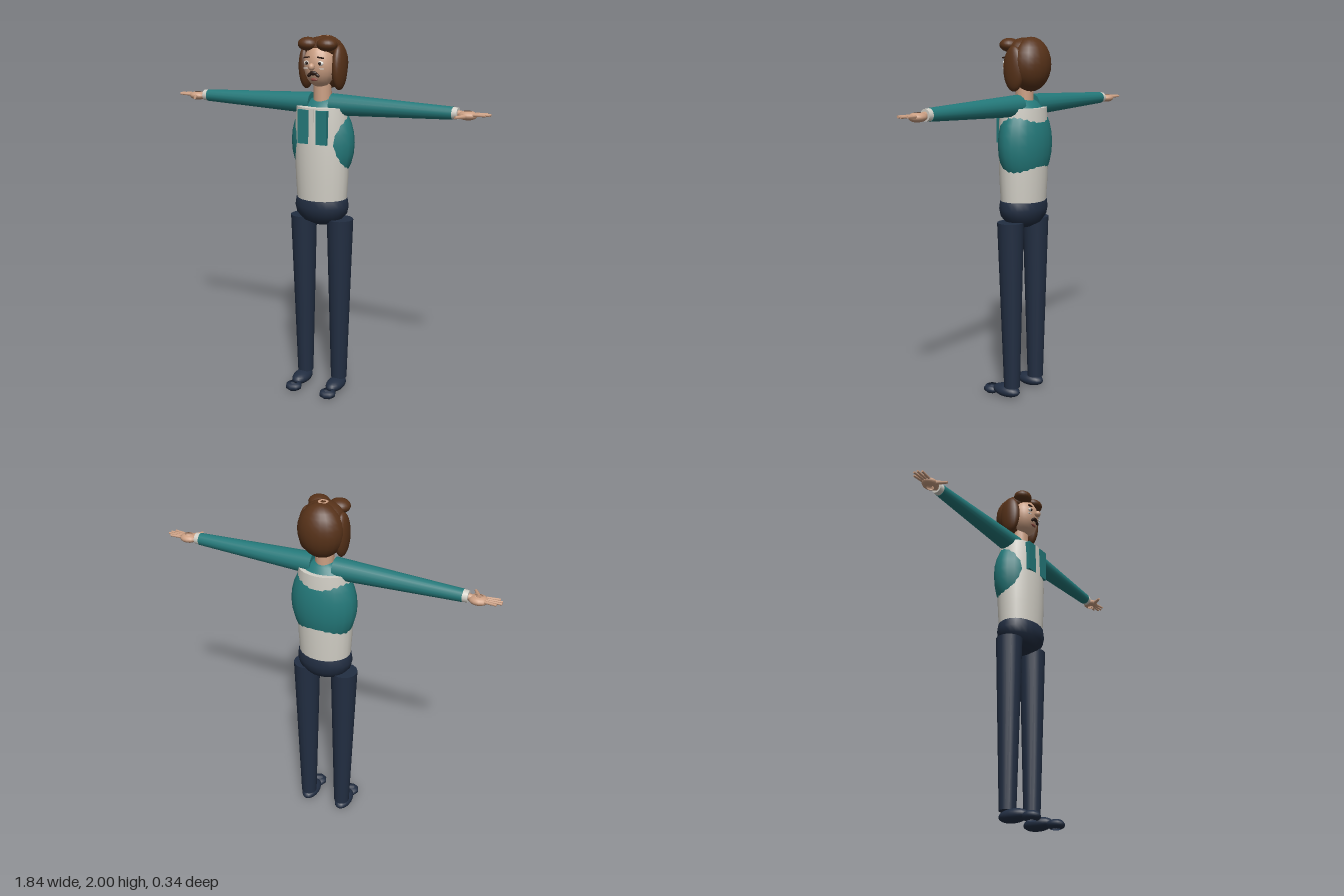
import * as THREE from 'three';

const mat = (name, color, side = THREE.FrontSide) => {
  const m = new THREE.MeshStandardMaterial({ color, side });
  m.name = name;
  return m;
};

export function createModel() {
  const root = new THREE.Group();
  root.name = 'standingFigure';
  const teal = mat('teal jacket', 0x24797a);
  const shirt = mat('off-white shirt', 0xd2cfc6);
  const navy = mat('navy trousers', 0x222e42, THREE.DoubleSide);
  const hair = mat('brown hair', 0x573219);
  const skin = mat('skin', 0xcb9f83, THREE.DoubleSide);
  const dark = mat('dark features', 0x2c1a12);
  const white = mat('eye white', 0xe4e2dc);
  const mouthRed = mat('mouth', 0x8c4a40);

  const add = (name, geo, m, p = [0, 0, 0], s = [1, 1, 1], parent = root) => {
    const mesh = new THREE.Mesh(geo, m);
    mesh.name = name;
    mesh.position.set(...p);
    mesh.scale.set(...s);
    parent.add(mesh);
    return mesh;
  };
  const ball = new THREE.SphereGeometry(1, 20, 14);
  // ellipsoid left open around both poles
  const openBall = (n, cut) => new THREE.SphereGeometry(1, n, 8, 0, Math.PI * 2, cut, Math.PI - 2 * cut);
  const box = new THREE.BoxGeometry(1, 1, 1);
  // round bar between two points
  const bar = (name, a, b, r0, r1, m, sides = 8) => {
    const A = new THREE.Vector3(...a), B = new THREE.Vector3(...b);
    const d = B.clone().sub(A);
    const mesh = add(name, new THREE.CylinderGeometry(r1, r0, d.length(), sides), m);
    mesh.position.copy(A).add(B).multiplyScalar(0.5);
    mesh.quaternion.setFromUnitVectors(new THREE.Vector3(0, 1, 0), d.normalize());
    return mesh;
  };
  const lathe = (pts) => new THREE.LatheGeometry(pts.map(p => new THREE.Vector2(...p)), 24);

  // Torso and hips: oval lathes
  add('shirtBody', lathe([[0.142, 1.12], [0.15, 1.25], [0.154, 1.4], [0.15, 1.55], [0.143, 1.63]]),
    shirt, [0, 0, -0.022], [1, 1, 0.79]);
  add('shirtTop', new THREE.CylinderGeometry(0.143, 0.143, 0.01, 24), shirt, [0, 1.625, -0.022], [1, 1, 0.79]);
  add('hips', lathe([[0.0, 0.98], [0.05, 0.98], [0.11, 1.005], [0.145, 1.045], [0.154, 1.085],
    [0.148, 1.125], [0.14, 1.132], [0, 1.132]]), navy, [0, 0, -0.022], [1, 1, 0.77]);

  // Jacket wraps the sides and back, with two front panels
  add('jacket', ball, teal, [0, 1.435, -0.034], [0.181, 0.25, 0.122]);
  add('placket', box, shirt, [0, 1.53, 0.092], [0.022, 0.19, 0.009]);

  // Neck and head
  add('neck', new THREE.CylinderGeometry(0.048, 0.05, 0.15, 16), skin, [0, 1.71, -0.028]);
  add('head', ball, skin, [0, 1.85, -0.002], [0.088, 0.118, 0.087]);
  add('backHair', ball, hair, [0, 1.857, -0.07], [0.122, 0.142, 0.1]);
  add('crownHair', ball, hair, [0, 1.935, -0.03], [0.1, 0.06, 0.085]);
  const crown = add('crownRing', new THREE.RingGeometry(0.014, 0.027, 8), skin, [0, 1.998, -0.045]);
  crown.rotation.x = -Math.PI / 2;

  // Face
  add('nose', ball, skin, [0, 1.846, 0.098], [0.017, 0.019, 0.018]);
  add('mouth', ball, mouthRed, [0, 1.778, 0.069], [0.02, 0.008, 0.006]);
  add('moustache', ball, dark, [0, 1.813, 0.08], [0.022, 0.012, 0.009]);

  for (const s of [1, -1]) {
    // Face details
    add('eye', ball, white, [s * 0.038, 1.863, 0.073], [0.019, 0.012, 0.008]);
    add('pupil', ball, dark, [s * 0.038, 1.863, 0.079], [0.008, 0.009, 0.006]);
    const brow = add('eyebrow', box, dark, [s * 0.04, 1.892, 0.073], [0.036, 0.007, 0.009]);
    brow.rotation.z = -s * 0.15;
    const tip = add('moustacheEnd', ball, dark, [s * 0.022, 1.803, 0.077], [0.016, 0.009, 0.008]);
    tip.rotation.z = -s * 0.6;
    add('cheekLine', box, white, [s * 0.045, 1.836, 0.073], [0.026, 0.004, 0.008]);

    // Hair lobes and curls
    add('sideHair', ball, hair, [s * 0.097, 1.835, -0.032], [0.036, 0.118, 0.064]);
    add('frontCurl', ball, hair, [s * 0.055, 1.957, 0.03], [0.056, 0.036, 0.051]);

    // Jacket front panel
    add('lapel', box, teal, [s * 0.053, 1.53, 0.081], [0.063, 0.18, 0.032]);

    // Arm, cuff and hand
    const y = 1.641, z = -0.028;
    bar('sleeve', [s * 0.06, y, z], [s * 0.73, y, z], 0.059, 0.033, teal, 16);
    bar('cuff', [s * 0.728, y, z], [s * 0.757, y, z], 0.032, 0.03, shirt, 16);
    bar('wrist', [s * 0.755, y, z], [s * 0.775, y - 0.003, z], 0.018, 0.018, skin);
    add('palm', openBall(14, 0.46), skin, [s * 0.805, 1.635, z], [0.05, 0.024, 0.042]);
    for (let i = 0; i < 4; i++) {
      const k = i - 1.5, reach = [0.905, 0.92, 0.922, 0.9][i];
      bar('finger', [s * 0.84, 1.641, z - 0.014 * k], [s * reach, 1.643, z - 0.02 * k], 0.008, 0.006, skin);
    }
    bar('thumb', [s * 0.8, 1.633, 0.004], [s * 0.768, 1.633, 0.058], 0.012, 0.007, skin);

    // Leg and foot
    bar('leg', [s * 0.108, 0.07, -0.025], [s * 0.112, 1.018, -0.02], 0.045, 0.073, navy, 16);
    add('foot', ball, navy, [s * 0.109, 0.04, 0.014], [0.049, 0.036, 0.088]);
    add('toe', openBall(8, 0.55), navy, [s * 0.109, 0.024, 0.121], [0.048, 0.028, 0.048]);
  }
  return root;
}
